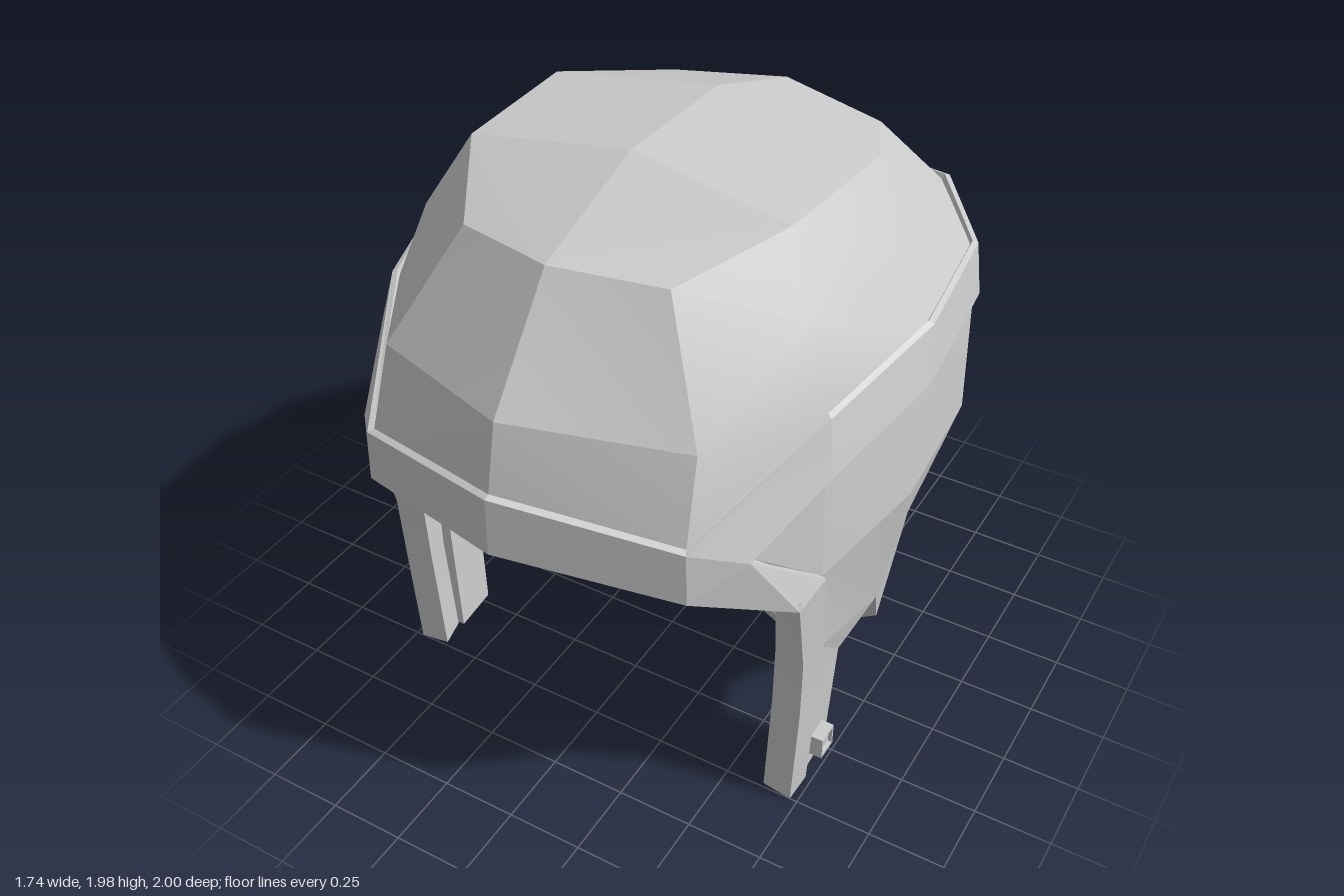
import * as THREE from 'three';
import { toCreasedNormals, mergeGeometries } from 'three/addons/utils/BufferGeometryUtils.js';

const material = new THREE.MeshStandardMaterial({ color: 0xcccccc });

// Thick symmetric shell from grids of [x, y, z] points on the +x half.
// Rows run downwards, columns from front to back; shared points are welded.
// The inner skin is a normal offset, or the given rule of a point's column and grid.
function shell(name, grids, thickness, crease = 0.15, innerRule = null) {
  const points = [], inner = [], lookup = new Map(), faces = [];
  const id = (p, column, grid) => {
    const key = p.join();
    if (!lookup.has(key)) {
      lookup.set(key, points.length);
      points.push(p);
      if (innerRule) inner.push(innerRule(p, column, grid));
    }
    return lookup.get(key);
  };
  const tri = (a, b, c) => { if (a !== b && b !== c && c !== a) faces.push([a, b, c]); };
  grids.forEach((rows, g) => {
    const ids = rows.map((row) => row.map((p, c) => id(p, c, g)));
    for (let r = 0; r < ids.length - 1; r++) {
      for (let c = 0; c < ids[r].length - 1; c++) {
        tri(ids[r][c], ids[r + 1][c], ids[r + 1][c + 1]);
        tri(ids[r][c], ids[r + 1][c + 1], ids[r][c + 1]);
      }
    }
  });

  // inner skin by offset, kept on the centre plane
  const n = points.length;
  if (!innerRule) {
    const outer = new THREE.BufferGeometry();
    outer.setAttribute('position', new THREE.Float32BufferAttribute(points.flat(), 3));
    outer.setIndex(faces.flat());
    outer.computeVertexNormals();
    const nor = outer.getAttribute('normal');
    points.forEach((p, i) => {
      const v = new THREE.Vector3(p[0] === 0 ? 0 : nor.getX(i), nor.getY(i), nor.getZ(i)).setLength(thickness);
      inner.push([p[0] - v.x, p[1] - v.y, p[2] - v.z]);
    });
  }

  // rim walls along the open edges
  const edges = new Set(faces.flatMap(([a, b, c]) => [`${a},${b}`, `${b},${c}`, `${c},${a}`]));
  const index = faces.flatMap(([a, b, c]) => [a, b, c, a + n, c + n, b + n]);
  for (const edge of edges) {
    const [a, b] = edge.split(',').map(Number);
    if (edges.has(`${b},${a}`) || (points[a][0] === 0 && points[b][0] === 0)) continue;
    index.push(b, a, a + n, b, a + n, b + n);
  }

  const all = [...points, ...inner];
  const halves = [1, -1].map((side) => {
    const g = new THREE.BufferGeometry();
    g.setAttribute('position', new THREE.Float32BufferAttribute(all.flatMap(([x, y, z]) => [x * side, y, z]), 3));
    g.setIndex(side > 0 ? index : [...index].reverse());
    return g;
  });
  const mesh = new THREE.Mesh(toCreasedNormals(mergeGeometries(halves), crease), material);
  mesh.name = name;
  return mesh;
}

// Square buckle: a plate with a raised frame, facing outwards
function buckle(side) {
  const group = new THREE.Group();
  group.name = side > 0 ? 'leftBuckle' : 'rightBuckle';
  const plate = new THREE.Mesh(new THREE.BoxGeometry(0.04, 0.08, 0.08), material);
  plate.name = 'bucklePlate';
  const square = (h, path) => path.moveTo(-h, -h).lineTo(h, -h).lineTo(h, h).lineTo(-h, h).closePath();
  const outline = new THREE.Shape();
  square(0.04, outline);
  const hole = new THREE.Path();
  square(0.032, hole);
  outline.holes.push(hole);
  const frame = new THREE.Mesh(
    new THREE.ExtrudeGeometry(outline, { depth: 0.012, bevelEnabled: false }), material);
  frame.name = 'buckleFrame';
  frame.rotation.y = side * Math.PI / 2;
  frame.position.x = side * 0.02;
  group.add(plate, frame);
  group.position.set(side * 0.735, 0.125, 0.33);
  return group;
}

export function createModel() {
  const model = new THREE.Group();
  model.name = 'helmet';

  // Domed top: flat crown, front and back panels, and smooth sides
  const ridge = [[0, 1.98, 0.22], [0, 1.97, -0.27]];
  const front = [0, 1.84, 0.66], back = [0, 1.81, -0.73];
  const crown = [[0.33, 1.82, 0.57], [0.52, 1.91, 0.26], [0.55, 1.9, -0.23], [0.37, 1.78, -0.65]];
  const foot = [
    [0, 1.27, 0.98], [0.525, 1.19, 0.825], [0.72, 1.45, 0.41], [0.82, 1.53, -0.02],
    [0.76, 1.53, -0.5], [0.51, 1.52, -0.86], [0, 1.52, -0.95],
  ];
  const top = [front, crown[0], crown[1], crown[2], crown[2], crown[3], back];
  const middle = top.map((p, i) => p.map((v, k) => (v + foot[i][k]) / 2));
  middle[0] = [0, 1.5, 0.93];
  middle[1] = [0.51, 1.46, 0.74];
  middle[2] = [0.64, 1.69, 0.35];
  const panel = (from, to) => [top, middle, foot].map((row) => row.slice(from, to + 1));
  model.add(shell('dome', [[[front, ...ridge, back], crown], panel(0, 1), panel(5, 6)], 0.08));
  model.add(shell('domeSides', [panel(1, 5)], 0.08, 0.8));

  // Raised band around the head with bevelled edges
  const brow = [0.54, 1.03, 0.845], notch = [0.66, 1.13, 0.71], browTop = [0.535, 1.2, 0.84];
  const bandTop = [
    [0, 1.28, 0.995], browTop, browTop, [0.74, 1.46, 0.42], [0.84, 1.545, -0.02],
    [0.78, 1.545, -0.5], [0.53, 1.53, -0.88], [0, 1.53, -0.96],
  ];
  const bandFoot = [
    [0, 1.09, 1], brow, notch, [0.77, 1.29, 0.46], [0.87, 1.385, 0.03],
    [0.81, 1.385, -0.48], [0.53, 1.37, -0.88], [0, 1.36, -0.99],
  ];
  const bevel = (rise) => ([x, y, z]) => [x * 0.98, y + rise, z * 0.98];
  model.add(shell('band', [
    [bandTop.map(bevel(0.008)), bandTop, bandFoot],
    [bandFoot.slice(2), bandFoot.slice(2).map(bevel(-0.015))],
  ], 0.08));

  // Sloping underside of the brow
  const browCorner = [0.76, 0.9, 0.59];
  model.add(shell('browUnderside', [[
    [[0, 1.09, 1], brow, browCorner],
    [[0, 1.035, 0.9], [0.5, 1.01, 0.77], [0.65, 0.88, 0.54]],
  ]], 0.03));

  // Front trim from the brow down each cheek strap, bevelled along its rear edge
  const trim = [
    [brow, notch],
    [browCorner, notch],
    [browCorner, [0.78, 0.94, 0.47]],
    [[0.75, 0.62, 0.52], [0.765, 0.6, 0.41]],
    [[0.745, 0.4, 0.51], [0.755, 0.4, 0.41]],
    [[0.725, 0, 0.5], [0.735, 0.02, 0.41]],
  ];
  model.add(shell('cheekTrim', [
    trim.map(([a, b]) => [a, b, [b[0] - 0.02, b[1] - 0.005, b[2] - 0.015]]),
  ], 0.1));

  // Lower shell: sides, neck guard and cheek straps, with an upright lining inside
  const cheek = [0.765, 0.94, 0.46], strapTop = [0.75, 0.6, 0.4], arch = [0.79, 0.57, 0.09];
  const lining = [[0.56, 0.6], [0.64, 0.4], [0.64, 0.09], [0.63, -0.21], [0.41, -0.57], [0, -0.66]];
  const liningPoint = ([x, y, z], column, grid) => {
    if (grid === 0) return [x - 0.1, y, z]; // straps
    return [lining[column][0], y - 0.025, lining[column][1]];
  };
  model.add(shell('neckGuard', [
    [
      [strapTop, arch],
      [[0.738, 0.45, 0.4], [0.74, 0.45, 0.24]],
      [[0.72, 0.02, 0.4], [0.72, 0.04, 0.25]],
    ],
    [
      [[0.64, 1.13, 0.69], [0.745, 1.32, 0.45], [0.85, 1.41, 0.02], [0.79, 1.41, -0.48], [0.515, 1.39, -0.86], [0, 1.38, -0.965]],
      [cheek, cheek, [0.87, 1.03, 0.1], [0.82, 1, -0.42], [0.52, 0.95, -0.86], [0, 0.91, -1]],
      [strapTop, strapTop, arch, [0.73, 0.62, -0.28], [0.45, 0.51, -0.65], [0, 0.47, -0.8]],
      [strapTop, strapTop, arch, [0.68, 0.18, -0.22], [0.44, 0.165, -0.61], [0, 0.145, -0.74]],
    ],
  ], 0, 0.15, liningPoint));

  model.add(buckle(1), buckle(-1));
  return model;
}
